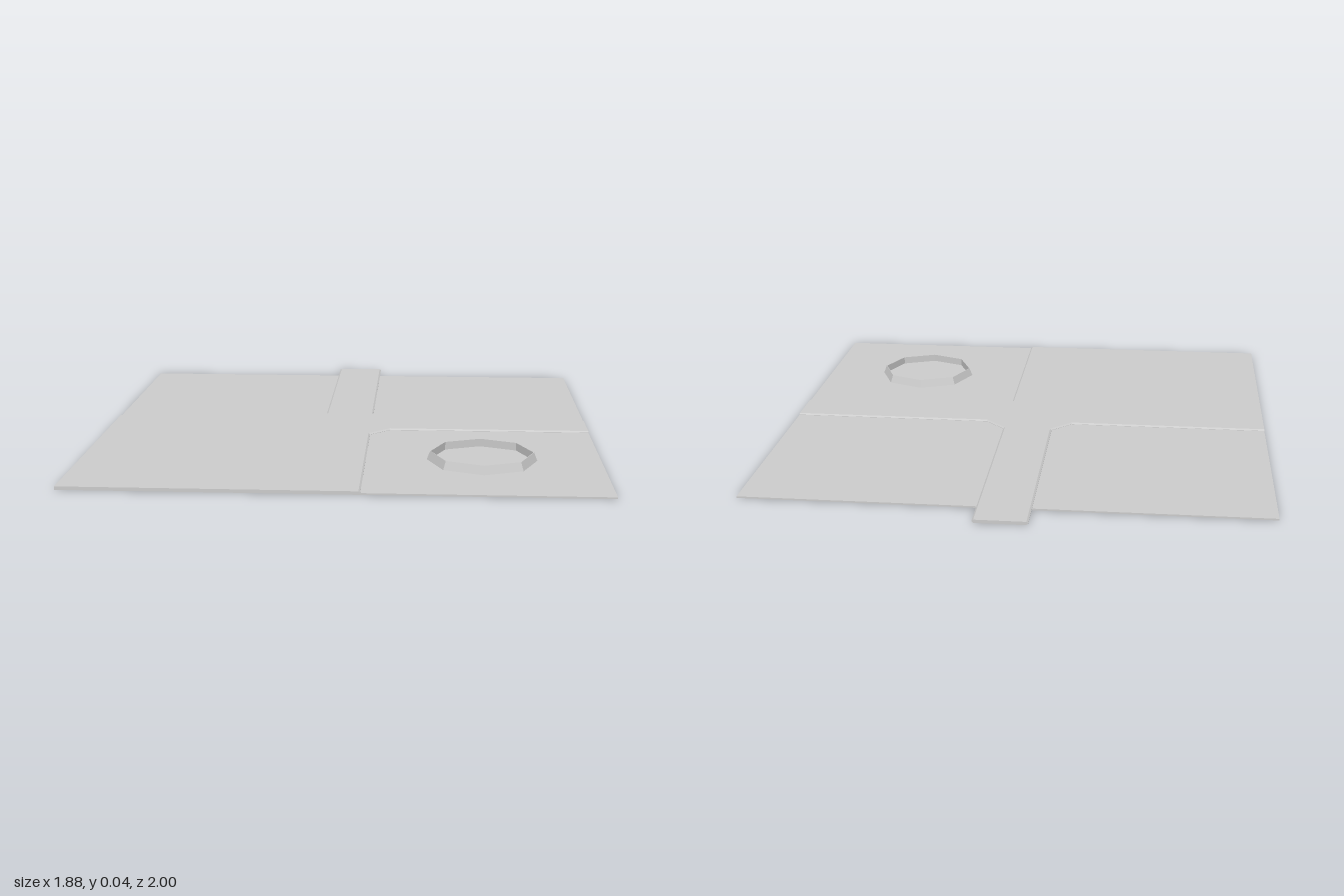
import * as THREE from 'three';

const material = new THREE.MeshStandardMaterial({ color: 0xcccccc, flatShading: true });

// Plan points are [x, z]; the shape is laid flat with its depth going up
const toPlan = (points) => points.map(([x, z]) => new THREE.Vector2(x, -z));

function slab(name, outline, holes, y, options) {
  const shape = new THREE.Shape(toPlan(outline));
  for (const hole of holes) shape.holes.push(new THREE.Path(toPlan(hole)));
  const geometry = new THREE.ExtrudeGeometry(shape, options);
  geometry.rotateX(-Math.PI / 2).translate(0, y, 0);
  // Keep the bevels flush with the outer edges of the plot
  const pos = geometry.attributes.position;
  for (let i = 0; i < pos.count; i++) {
    pos.setX(i, THREE.MathUtils.clamp(pos.getX(i), -0.94, 0.94));
    pos.setZ(i, THREE.MathUtils.clamp(pos.getZ(i), -1, 1));
  }
  geometry.computeVertexNormals();
  const mesh = new THREE.Mesh(geometry, material);
  mesh.name = name;
  return mesh;
}

export function createModel() {
  const group = new THREE.Group();
  group.name = 'gardenPlot';

  // Thin lawn base with an entrance tab at the back
  group.add(slab('lawn', [
    [-0.095, -1], [0.085, -1], [0.085, -0.875], [0.94, -0.875],
    [0.94, 1], [-0.94, 1], [-0.94, -0.875], [-0.095, -0.875],
  ], [], 0, { depth: 0.006, bevelEnabled: false }));

  // Slightly raised paths: a chamfered crossing and a border round one lawn
  group.add(slab('paths', [
    [-0.095, -1], [0.085, -1], [0.085, -0.1], [0.165, -0.02],
    [0.94, -0.02], [0.94, 0.14], [0.165, 0.14], [0.085, 0.22],
    [0.085, 1], [-0.94, 1], [-0.94, -0.02], [-0.175, -0.02], [-0.095, -0.1],
  ], [[
    [-0.83, 0.14], [-0.175, 0.14], [-0.095, 0.22], [-0.095, 0.865], [-0.83, 0.865],
  ]], 0.006, {
    depth: 0.001, bevelEnabled: true, bevelSegments: 1, bevelThickness: 0.005, bevelSize: 0.006,
  }));

  // Eight-sided basin with sloping outside walls
  const profile = [[0.2, 0.004], [0.187, 0.037], [0.185, 0.037], [0.185, 0.008], [0, 0.008]];
  const basin = new THREE.Mesh(
    new THREE.LatheGeometry(profile.map(([r, y]) => new THREE.Vector2(r, y)), 8), material);
  basin.name = 'basin';
  basin.position.set(0.51, 0, 0.565);
  group.add(basin);

  return group;
}
